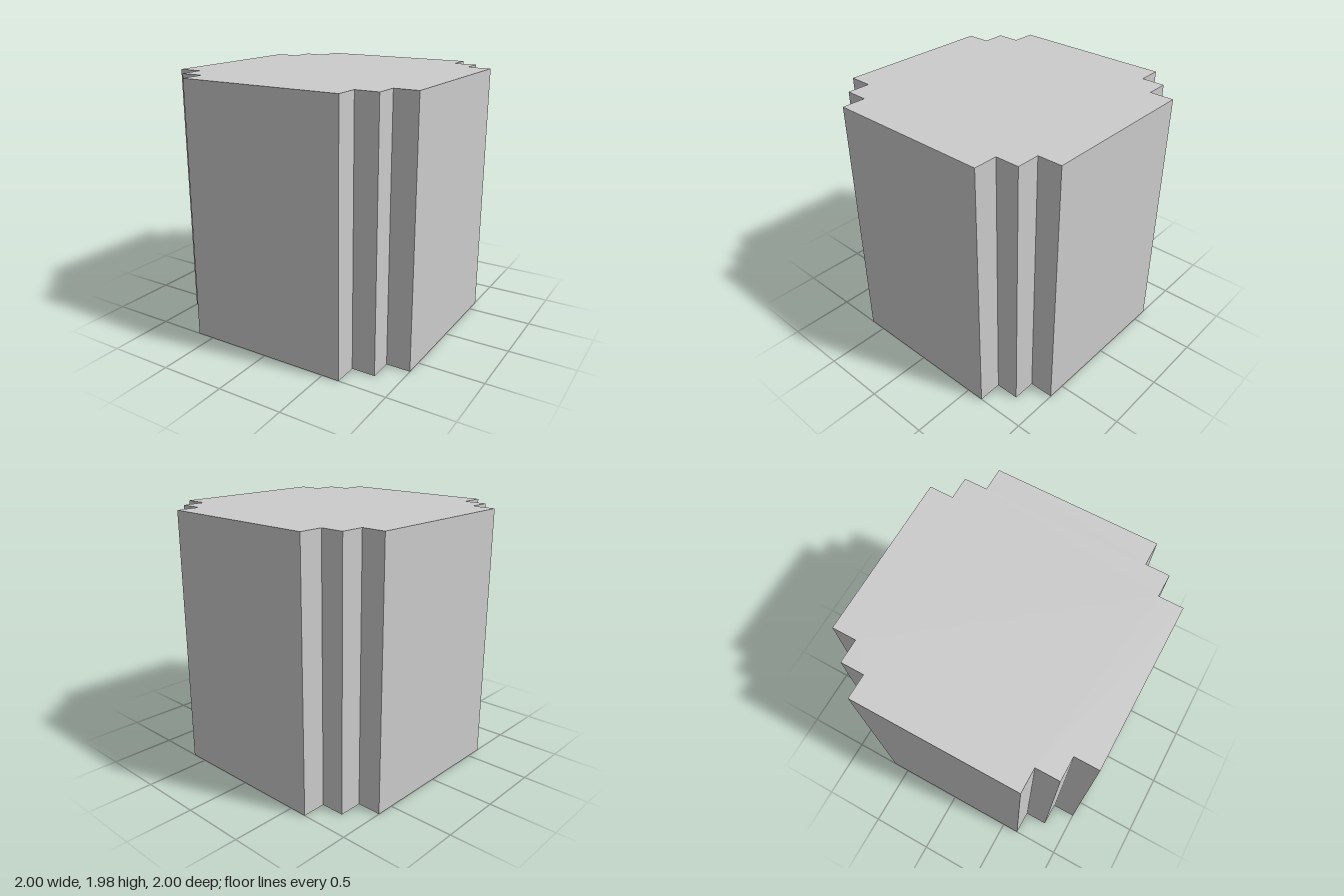
import * as THREE from 'three';

const HEIGHT = 1.98;
const OUTER = 1;      // half width of the block
const MIDDLE = 0.815; // half width at the intermediate step
const INNER = 0.635;  // half width of each flat face

// Square outline whose four corners are cut into two steps
function steppedOutline() {
  const corner = [
    [OUTER, INNER], [MIDDLE, INNER], [MIDDLE, MIDDLE], [INNER, MIDDLE], [INNER, OUTER],
  ];
  const points = [];
  for (let i = 0; i < 4; i++) {
    for (const [x, y] of corner) {
      points.push(new THREE.Vector2(x, y).rotateAround(new THREE.Vector2(), i * Math.PI / 2));
    }
  }
  return new THREE.Shape(points);
}

export function createModel() {
  const group = new THREE.Group();
  group.name = 'steppedPillar';

  // Solid column, extruded upwards from the ground
  const geometry = new THREE.ExtrudeGeometry(steppedOutline(), { depth: HEIGHT, bevelEnabled: false });
  geometry.rotateX(-Math.PI / 2);
  const column = new THREE.Mesh(
    geometry,
    new THREE.MeshStandardMaterial({ color: 0xcccccc, flatShading: true }),
  );
  column.name = 'column';
  group.add(column);

  return group;
}
